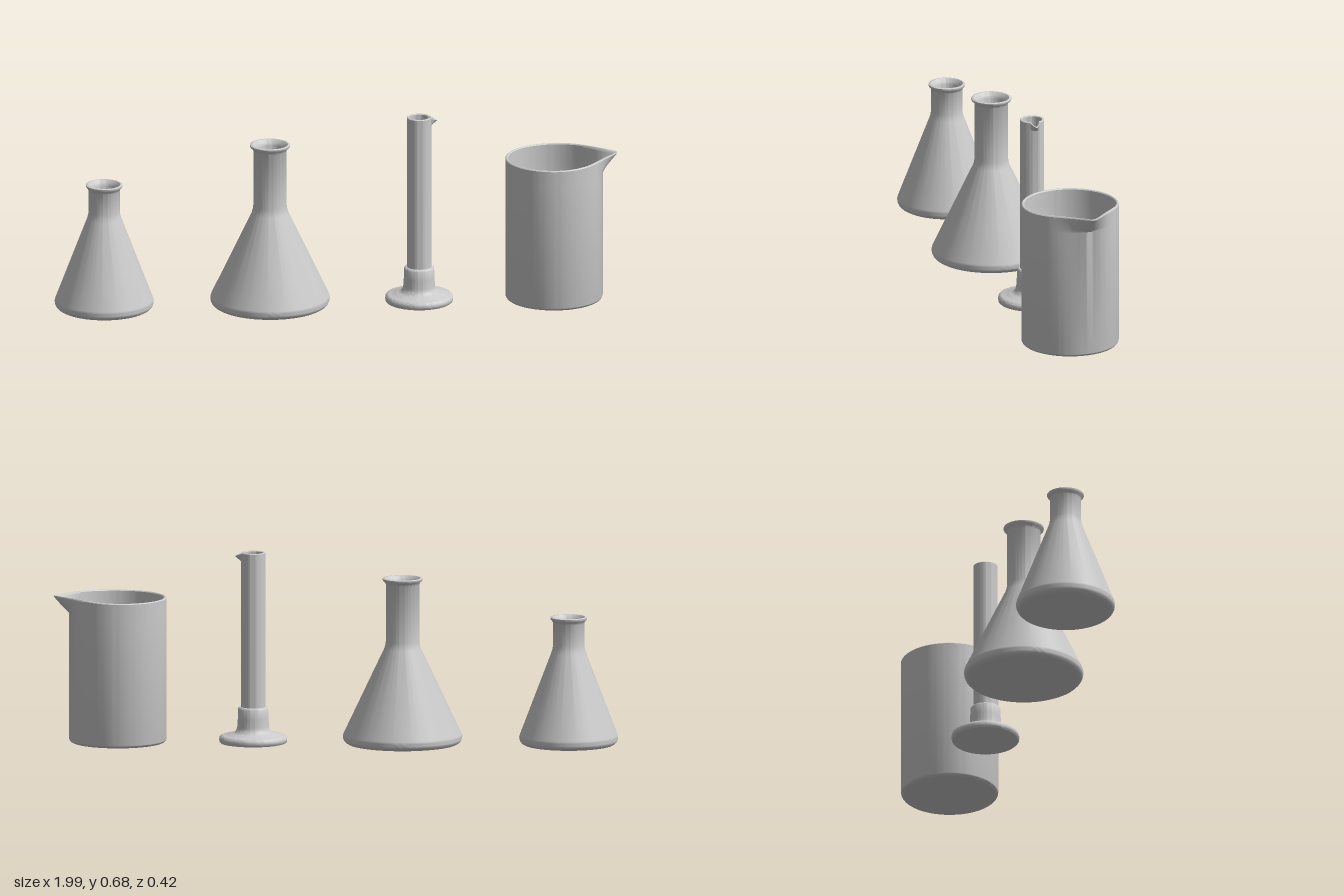
import * as THREE from 'three';
import { toCreasedNormals } from 'three/addons/utils/BufferGeometryUtils.js';

const material = new THREE.MeshStandardMaterial({ color: 0xcccccc, side: THREE.DoubleSide });

// Turned part from [radius, height] points; an optional rule reshapes (angle, radius, height).
function turned(name, profile, segments = 96, rule = null) {
  const geometry = new THREE.LatheGeometry(profile.map(([r, y]) => new THREE.Vector2(r, y)), segments);
  if (rule) {
    const p = geometry.attributes.position;
    for (let i = 0; i < p.count; i++) {
      const x = p.getX(i), z = p.getZ(i), angle = Math.atan2(z, x);
      const [r, y] = rule(angle, Math.hypot(x, z), p.getY(i));
      p.setXYZ(i, r * Math.cos(angle), y, r * Math.sin(angle));
    }
  }
  const mesh = new THREE.Mesh(toCreasedNormals(geometry, 0.7), material);
  mesh.name = name;
  return mesh;
}

// Quarter-round corner from angle a0 to a1 (in turns of PI/2).
function arc(cx, cy, radius, a0, a1, steps = 6) {
  return Array.from({ length: steps + 1 }, (_, i) => {
    const a = (a0 + (a1 - a0) * i / steps) * Math.PI / 2;
    return [cx + radius * Math.cos(a), cy + radius * Math.sin(a)];
  });
}

// Conical flask: rounded base, cone, neck, flared lip and hollow inside.
function flask(name, base, neck, lip, shoulder, height) {
  const wall = 0.011;
  const profile = [
    [0, 0.002], [base - 0.025, 0.002],
    ...arc(base - 0.025, 0.027, 0.025, -1, 0.27),
    [neck + 0.006, shoulder - 0.014], [neck + 0.002, shoulder], [neck, shoulder + 0.014],
    [neck, height - 0.022], [neck + 0.003, height - 0.016], [lip - 0.002, height - 0.01],
    [lip, height - 0.006], [lip, height - 0.002], [lip - 0.003, height],
    [lip - 0.008, height], [neck - wall + 0.004, height - 0.01], [neck - wall, height - 0.02],
    [neck - wall, shoulder + 0.01], [neck - wall + 0.004, shoulder - 0.014],
    [base - 0.018, 0.035], [base - 0.025, 0.016], [0, 0.014],
  ];
  return turned(name, profile);
}

// Beaker with a wedge spout whose sides leave the wall tangentially.
function beaker() {
  const R = 0.172, wall = 0.01, H = 0.52, start = 0.465, half = 0.77, aim = -0.11;
  const levels = [0, 0.15, 0.3, 0.5, 0.7, 0.85].map(t => start + (H - start) * t);
  const profile = [
    [0, 0.003], [R - 0.014, 0.003], ...arc(R - 0.014, 0.017, 0.014, -1, 0),
    ...levels.map(y => [R, y]),
    [R, H - 0.003], [R - 0.003, H], [R - wall + 0.003, H], [R - wall, H - 0.003],
    ...levels.reverse().map(y => [R - wall, y]),
    ...arc(R - wall - 0.012, 0.026, 0.012, 0, -1), [0, 0.014],
  ];
  return turned('beaker', profile, 144, (angle, r, y) => {
    const d = Math.abs(angle - aim);
    const f = THREE.MathUtils.clamp((y - start) / (H - start), 0, 1);
    const reach = 1 / Math.cos(Math.max(0, half - Math.hypot(d, 0.04)));
    const lift = 0.008 * f * f * (0.5 + 0.5 * Math.cos(Math.min(d * 1.8, Math.PI)));
    return [r * (1 + f * (reach - 1)), y + lift];
  });
}

// Measuring cylinder: round foot with collar, and a slim tube with a small pouring lip.
function measuringCylinder() {
  const group = new THREE.Group();
  group.name = 'measuringCylinder';
  group.add(turned('footAndCollar', [
    [0, 0.002], [0.115, 0.002], [0.119, 0.006], [0.12, 0.014], [0.119, 0.022], [0.115, 0.027],
    [0.107, 0.03], [0.085, 0.032],
    ...arc(0.084, 0.061, 0.028, -1, -2),
    [0.054, 0.09], [0.053, 0.124], [0.051, 0.128], [0.047, 0.13], [0.04, 0.13],
  ]));
  const R = 0.043, inner = 0.034, H = 0.681, start = 0.65;
  const levels = [0, 0.25, 0.5, 0.75].map(t => start + (H - start) * t);
  group.add(turned('tube', [
    [R, 0.1], ...levels.map(y => [R, y]),
    [R, H - 0.002], [R - 0.002, H], [inner + 0.002, H], [inner, H - 0.002],
    ...levels.reverse().map(y => [inner, y]), [inner, 0.05], [0.026, 0.04], [0, 0.038],
  ], 120, (angle, r, y) => {
    const f = THREE.MathUtils.clamp((y - start) / (H - start), 0, 1);
    const t = Math.max(0, 1 - Math.hypot(angle, 0.03) / 0.42);
    return [r * (1 + 0.57 * f * t), y - 0.013 * f * t];
  }));
  return group;
}

export function createModel() {
  const model = new THREE.Group();
  model.name = 'labGlassware';
  const place = (part, x, z) => {
    part.position.set(x, 0, z);
    model.add(part);
  };
  place(flask('smallFlask', 0.175, 0.055, 0.065, 0.345, 0.458), -0.826, -0.003);
  place(flask('largeFlask', 0.211, 0.059, 0.071, 0.355, 0.593), -0.239, 0);
  place(measuringCylinder(), 0.289, 0);
  place(beaker(), 0.767, -0.004);
  return model;
}
